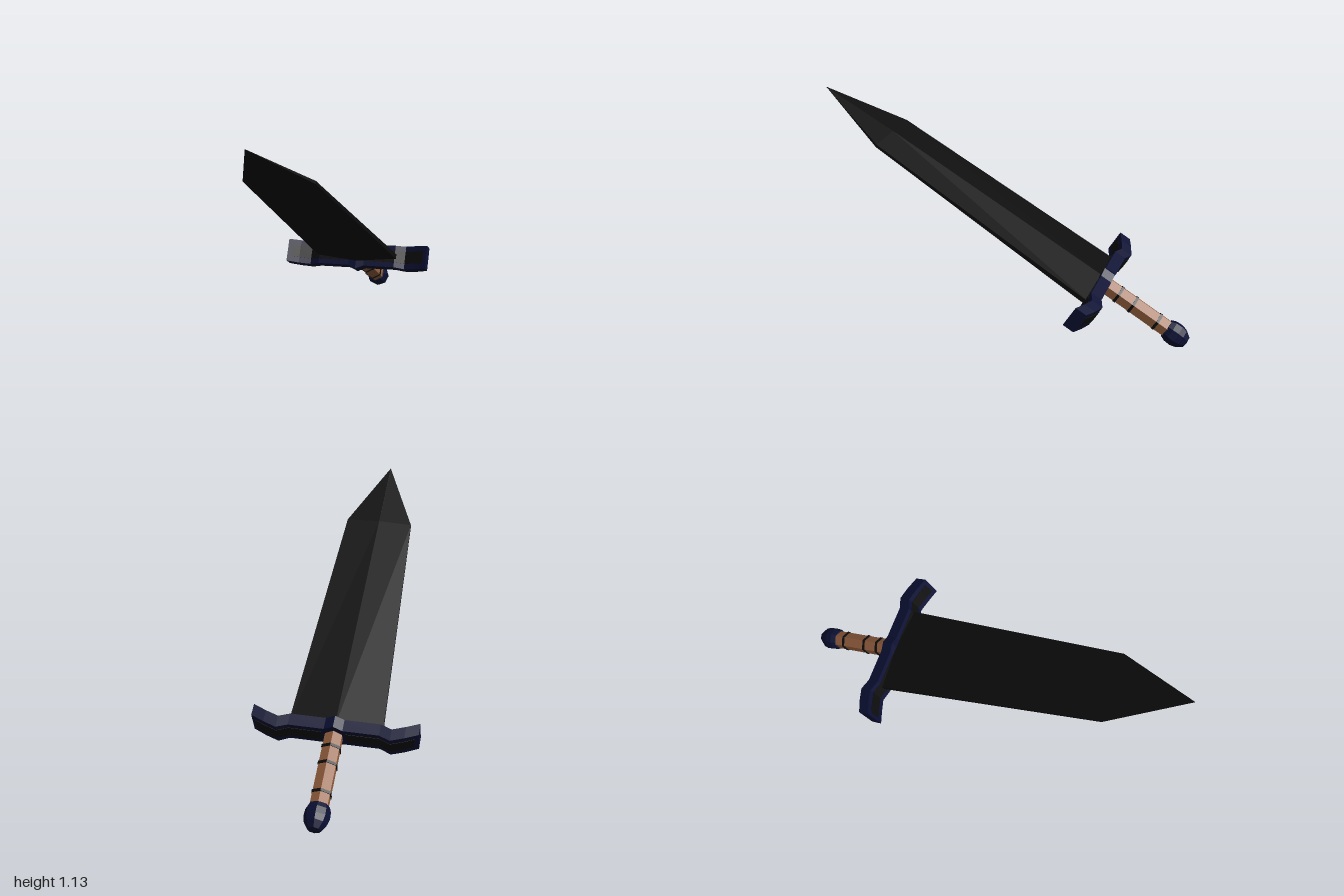
import * as THREE from 'three';

const flat = (color) => new THREE.MeshStandardMaterial({ color, flatShading: true });

// Joins matching rings of corners (counter-clockwise about the loft direction) and caps both ends
function loft(rings) {
  const pos = [];
  const tri = (a, b, c) => pos.push(...a, ...b, ...c);
  const n = rings[0].length;
  for (let i = 0; i + 1 < rings.length; i++) {
    for (let j = 0; j < n; j++) {
      const k = (j + 1) % n;
      tri(rings[i][j], rings[i][k], rings[i + 1][k]);
      tri(rings[i][j], rings[i + 1][k], rings[i + 1][j]);
    }
  }
  const first = rings[0], last = rings[rings.length - 1];
  for (let j = 1; j + 1 < n; j++) {
    tri(first[0], first[j + 1], first[j]);
    tri(last[0], last[j], last[j + 1]);
  }
  const g = new THREE.BufferGeometry();
  g.setAttribute('position', new THREE.Float32BufferAttribute(pos, 3));
  g.computeVertexNormals();
  return g;
}

export function createModel() {
  const model = new THREE.Group();
  const sword = new THREE.Group();
  sword.name = 'sword';
  model.add(sword);

  const black = flat(0x0d0d0d);
  const navy = flat(0x0c1033);
  const leather = flat(0x96603f);

  const add = (name, geometry, material, y = 0) => {
    const mesh = new THREE.Mesh(geometry, material);
    mesh.name = name;
    mesh.position.y = y;
    sword.add(mesh);
    return mesh;
  };

  // Blade: ridged section with narrow flat edges, [y, half width, half ridge, half edge]
  const blade = [
    [0, 0.23, 0.037, 0.013],
    [1.34, 0.176, 0.016, 0.007],
    [1.758, 0.001, 0.001, 0.0005],
  ].map(([y, w, t, e]) => [
    [0, y, t], [w, y, e], [w, y, -e], [0, y, -t], [-w, y, -e], [-w, y, e],
  ]);
  add('blade', loft(blade), black);

  // Crossguard: box section swept sideways, stations [x, centre y, half depth]
  const bar = (stations, thick) => loft(stations.map(([x, y, h]) => [
    [x, y - thick, -h], [x, y + thick, -h], [x, y + thick, h], [x, y - thick, h],
  ]));
  const arm = [
    [0.045, 0, 0.062], [0.22, 0, 0.062], [0.275, -0.022, 0.065],
    [0.34, 0, 0.066], [0.405, 0.028, 0.064],
  ];
  const mirrored = (stations) => stations.map(([x, y, h]) => [-x, y, h]).reverse();
  add('crossguard', bar([...mirrored(arm), [0, 0.005, 0.083], ...arm], 0.031), navy);

  // Dark panels on both faces of each guard arm
  const panel = [
    [0.06, 0, 0.034], [0.22, 0, 0.034], [0.275, -0.022, 0.034],
    [0.34, 0, 0.034], [0.385, 0.0195, 0.034],
  ];
  add('leftGuardPanel', bar(panel, 0.033), black);
  add('rightGuardPanel', bar(mirrored(panel), 0.033), black);

  // Six-sided grip with three binding rings
  add('grip', new THREE.CylinderGeometry(0.048, 0.048, 0.4, 6), leather, -0.21);
  for (const y of [-0.1, -0.19, -0.34]) {
    add('gripRing', new THREE.CylinderGeometry(0.052, 0.052, 0.014, 6), black, y);
  }

  // Faceted pommel
  const profile = [
    [0, -0.528], [0.032, -0.522], [0.054, -0.49], [0.062, -0.46],
    [0.06, -0.425], [0.05, -0.4], [0, -0.395],
  ].map(([r, y]) => new THREE.Vector2(r, y));
  add('pommel', new THREE.LatheGeometry(profile, 8), navy);

  // Lean the whole sword forward so its point is raised
  const origin = new THREE.Vector3(0.003, 0.305, -0.53);
  const along = new THREE.Vector3(-0.19, 1.15, 1.0).sub(origin).normalize();
  const across = new THREE.Vector3(0.994, 0.025, 0.104);
  across.addScaledVector(along, -across.dot(along)).normalize();
  const normal = new THREE.Vector3().crossVectors(across, along);
  sword.quaternion.setFromRotationMatrix(new THREE.Matrix4().makeBasis(across, along, normal));
  sword.position.copy(origin);

  return model;
}
